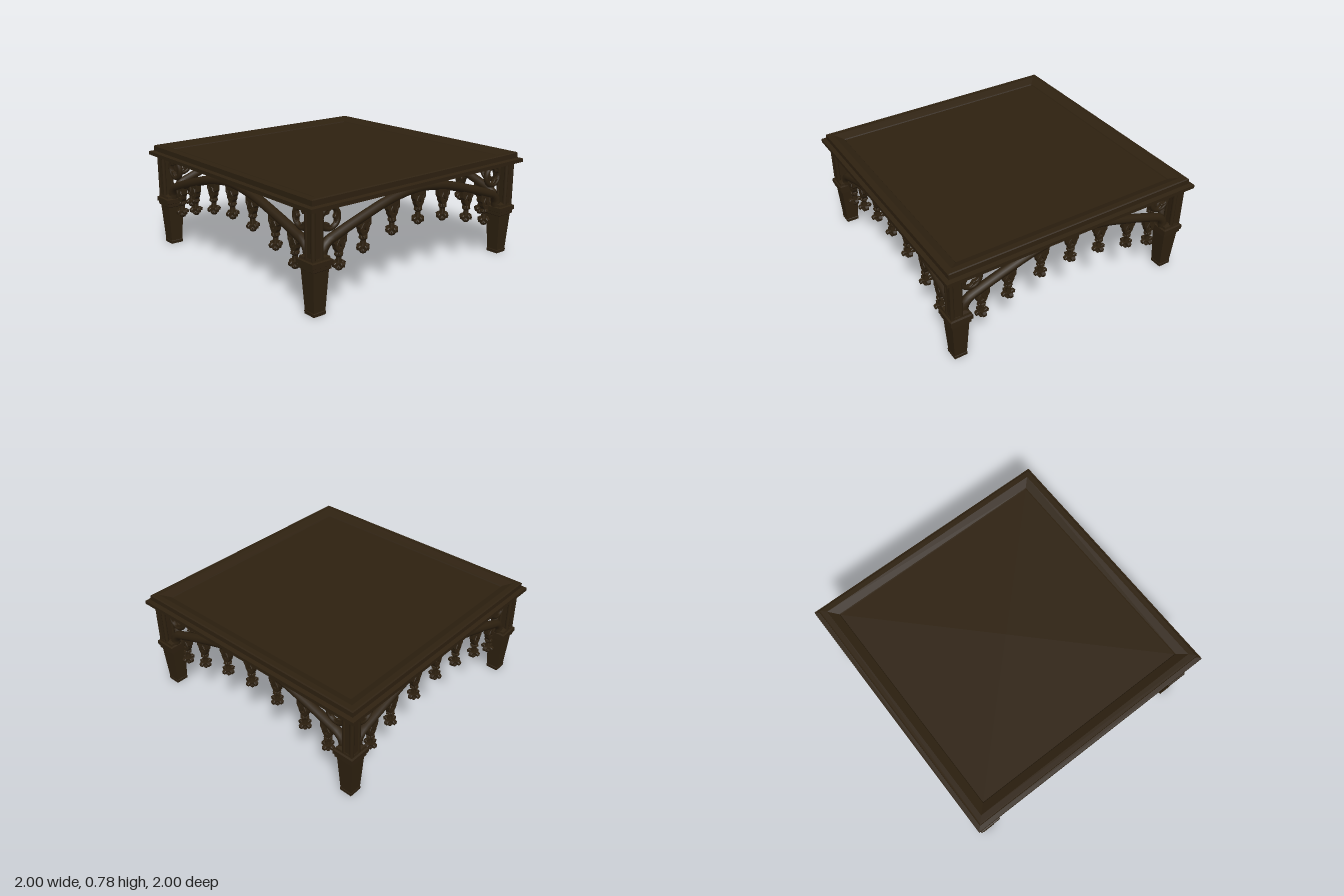
import * as THREE from 'three';

const wood = new THREE.MeshStandardMaterial({ color: 0x2e2110 });
wood.name = 'dark wood';
const shade = new THREE.MeshStandardMaterial({ color: 0x211a0c });
shade.name = 'shaded wood';
const raw = new THREE.MeshStandardMaterial({ color: 0x402e23 });
raw.name = 'raw underside';

function add(parent, name, geometry, material, x = 0, y = 0, z = 0) {
  const mesh = new THREE.Mesh(geometry, material);
  mesh.name = name;
  mesh.position.set(x, y, z);
  parent.add(mesh);
  return mesh;
}

function faceted(geometry) {
  const g = geometry.toNonIndexed();
  g.computeVertexNormals();
  return g;
}

// Square-plan solid from [half width, height] pairs, listed bottom to top
function squareTurned(profile) {
  const points = profile.map(([r, y]) => new THREE.Vector2(r * Math.SQRT2, y));
  return faceted(new THREE.LatheGeometry(points, 4, Math.PI / 4));
}

function extrude(shape, depth, bevel = 0.004) {
  const g = new THREE.ExtrudeGeometry(shape, {
    depth: depth - 2 * bevel, bevelEnabled: true, bevelThickness: bevel,
    bevelSize: bevel, bevelOffset: -bevel, bevelSegments: 1, curveSegments: 8,
  });
  g.translate(0, 0, -depth / 2 + bevel);
  return g;
}

function mirrored(right) {
  const left = right.map(([x, y]) => [-x, y]).reverse();
  return new THREE.Shape([...right, ...left].map(([x, y]) => new THREE.Vector2(x, y)));
}

// Pendant bracket: flared head with two piercings above a leafy drop
const head = mirrored([[0.056, 0.02], [0.054, -0.035], [0.042, -0.05], [0.036, -0.075],
  [0.022, -0.095], [0.018, -0.115]].reverse());
for (const s of [-1, 1]) {
  head.holes.push(new THREE.Path([[0.012, -0.018], [0.036, -0.018], [0.03, -0.046]]
    .map(([x, y]) => new THREE.Vector2(x * s, y))));
}
head.holes.push(new THREE.Path([[0, -0.042], [0.011, -0.07], [-0.011, -0.07]]
  .map(([x, y]) => new THREE.Vector2(x, y))));
const headGeometry = extrude(head, 0.04, 0.003);
const leafGeometry = extrude(mirrored([[0.014, -0.222], [0.026, -0.205], [0.018, -0.19],
  [0.046, -0.196], [0.05, -0.176], [0.036, -0.164], [0.018, -0.168], [0.013, -0.135],
  [0.03, -0.118], [0.026, -0.104], [0.012, -0.095]]), 0.03);

// Trefoil piercing, lobes turned by a start angle
function trefoilPlate(start) {
  const disc = new THREE.Shape().absarc(0, 0, 0.075, 0, Math.PI * 2, false);
  const outline = [];
  for (let k = 0; k < 3; k++) {
    const a = start + k * Math.PI * 2 / 3;
    for (let j = 0; j <= 8; j++) {
      const b = a + (j / 8 - 0.5) * Math.PI * 1.25;
      outline.push(new THREE.Vector2(0.03 * Math.cos(a) + 0.027 * Math.cos(b),
        0.03 * Math.sin(a) + 0.027 * Math.sin(b)));
    }
  }
  disc.holes.push(new THREE.Path(outline));
  return extrude(disc, 0.028, 0.003);
}

// Moulded arch: eight-sided section swept along a curve in the side's plane
function archGeometry() {
  const half = [[0.84, 0.37], [0.832, 0.42], [0.795, 0.462], [0.72, 0.492], [0.5, 0.565], [0.25, 0.635]];
  const path = [...half.map(([x, y]) => [-x, y]), [0, 0.664], ...half.slice().reverse()];
  const curve = new THREE.CatmullRomCurve3(path.map(([x, y]) => new THREE.Vector3(x, y, 0)));
  return new THREE.TubeGeometry(curve, 64, 0.033, 8, false);
}

function createSide(index) {
  const side = new THREE.Group();
  side.name = 'archedSide';
  add(side, 'arch', archGeometry(), wood);
  // Pendants hang from the underside of the arch
  for (const [x, y] of [[0, 0.63], [0.245, 0.605], [0.5, 0.54], [0.705, 0.475]]) {
    for (const s of x ? [-1, 1] : [1]) {
      const pendant = new THREE.Group();
      pendant.name = 'pendant';
      add(pendant, 'pendantHead', headGeometry, wood);
      add(pendant, 'pendantLeaf', leafGeometry, wood);
      add(pendant, 'crossLeaf', leafGeometry, wood).rotation.y = Math.PI / 2;
      pendant.position.set(x * s, y, 0);
      side.add(pendant);
    }
  }
  // Pierced roundels in the spandrels
  for (const s of [-1, 1]) {
    const turned = (index === 2 && s === -1) || (index === 3 && s === 1);
    const outward = s < 0 ? Math.PI : 0;
    add(side, 'roundelRing', new THREE.TorusGeometry(0.07, 0.019, 8, 32), wood, s * 0.78, 0.612, 0);
    add(side, 'trefoil', trefoilPlate(outward + (turned ? Math.PI : 0)), wood, s * 0.78, 0.612, 0);
  }
  // Put the side in its place around the table
  const holder = new THREE.Group();
  holder.name = 'side';
  side.position.z = 0.9;
  holder.add(side);
  holder.rotation.y = index * Math.PI / 2;
  return holder;
}

function createLeg(sx, sz) {
  const leg = new THREE.Group();
  leg.name = 'leg';
  // Tapered foot and stepped collar
  add(leg, 'foot', squareTurned([[0, 0], [0.047, 0], [0.049, 0.022], [0.046, 0.026],
    [0.062, 0.3], [0.067, 0.305], [0.067, 0.31]]), wood, sx * 0.888, 0, sz * 0.888);
  add(leg, 'collar', squareTurned([[0, 0.305], [0.073, 0.308], [0.073, 0.33], [0.082, 0.335],
    [0.082, 0.367], [0.07, 0.372], [0.067, 0.388], [0.045, 0.395], [0, 0.395]]),
  wood, sx * 0.888, 0, sz * 0.888);
  // Post with slim corner shafts
  const c = 0.914;
  add(leg, 'post', new THREE.BoxGeometry(0.078, 0.33, 0.078), wood, sx * c, 0.545, sz * c);
  for (const dx of [-1, 1]) {
    for (const dz of [-1, 1]) {
      add(leg, 'cornerShaft', new THREE.CylinderGeometry(0.015, 0.015, 0.33, 8), wood,
        sx * c + dx * 0.031, 0.545, sz * c + dz * 0.031);
    }
  }
  return leg;
}

export function createModel() {
  const table = new THREE.Group();
  table.name = 'table';

  // Moulded top with a sunken panel
  add(table, 'tableTop', squareTurned([[0, 0.702], [1, 0.702], [1, 0.728], [0.97, 0.734],
    [0.97, 0.77], [0.963, 0.776], [0.925, 0.776], [0.865, 0.752], [0.86, 0.745], [0, 0.745]]), wood);

  // Underside lining with an uneven bare patch
  const lining = new THREE.PlaneGeometry(1.99, 1.99);
  add(table, 'undersideLining', lining, shade, 0, 0.7, 0).rotation.x = Math.PI / 2;
  const edge = [];
  for (let i = 0; i < 64; i++) {
    const a = i / 64 * Math.PI * 2;
    const c = Math.cos(a), s = Math.sin(a);
    const r = 0.8 / Math.pow(c ** 4 + s ** 4, 0.25) + 0.022 * Math.sin(a * 9 + 1) + 0.015 * Math.sin(a * 17);
    edge.push(new THREE.Vector2(r * c, r * s));
  }
  add(table, 'undersidePatch', new THREE.ShapeGeometry(new THREE.Shape(edge)), raw, 0, 0.697, 0)
    .rotation.x = Math.PI / 2;

  for (let i = 0; i < 4; i++) table.add(createSide(i));
  for (const sx of [-1, 1]) for (const sz of [-1, 1]) table.add(createLeg(sx, sz));
  return table;
}
